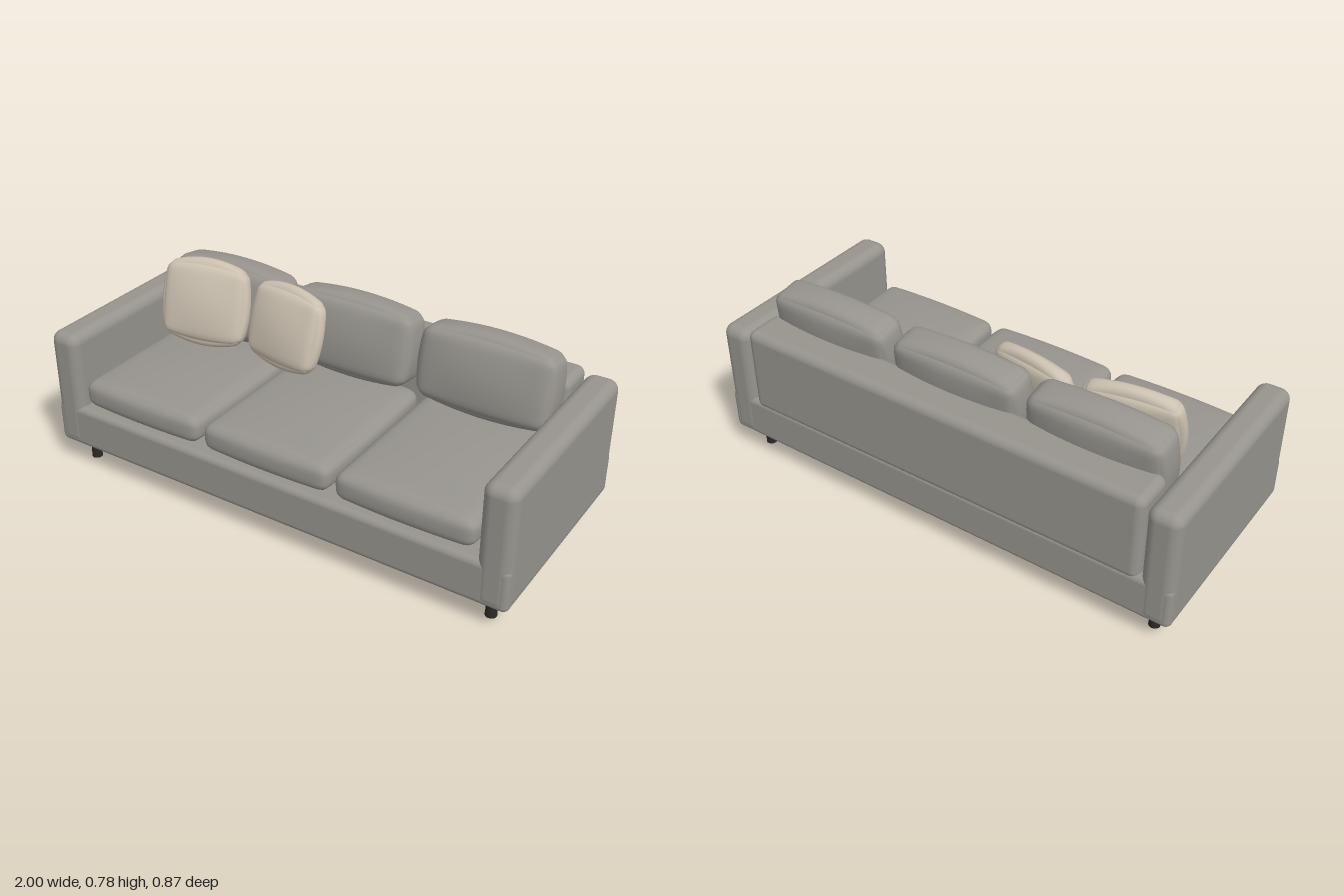
import * as THREE from 'three';
import { mergeVertices } from 'three/addons/utils/BufferGeometryUtils.js';
import { RoundedBoxGeometry } from 'three/addons/geometries/RoundedBoxGeometry.js';

const fabric = new THREE.MeshStandardMaterial({ color: 0x97948e });
const linen = new THREE.MeshStandardMaterial({ color: 0xcbc1b0 });
const darkWood = new THREE.MeshStandardMaterial({ color: 0x2b2724 });

// Stuffed cushion: a rounded box whose faces swell towards their middles.
// size is the full outer size, bulge the swelling of each pair of faces.
function cushionGeometry(size, radius, bulge) {
  let geo = new THREE.BoxGeometry(2, 2, 2, 18, 18, 18);
  geo.deleteAttribute('uv');
  geo.deleteAttribute('normal');
  geo = mergeVertices(geo);
  const half = new THREE.Vector3(...size).multiplyScalar(0.5).sub(new THREE.Vector3(...bulge));
  const inner = half.clone().subScalar(radius);
  const pos = geo.attributes.position;
  const p = new THREE.Vector3(), core = new THREE.Vector3();
  const ease = (t) => Math.sin(t * Math.PI / 2); // more rings near the edges
  for (let i = 0; i < pos.count; i++) {
    const u = ease(pos.getX(i)), v = ease(pos.getY(i)), w = ease(pos.getZ(i));
    p.set(u, v, w).multiply(half);
    core.copy(p).clamp(inner.clone().negate(), inner);
    p.sub(core).setLength(radius).add(core);
    const fu = 1 - u * u, fv = 1 - v * v, fw = 1 - w * w;
    p.x += bulge[0] * u * fv * (0.5 + 0.5 * fw);
    p.y += bulge[1] * v * fu * (0.5 + 0.5 * fw);
    p.z += bulge[2] * w * fu * fv;
    pos.setXYZ(i, p.x, p.y, p.z);
  }
  geo.computeVertexNormals();
  return geo;
}

export function createModel() {
  const sofa = new THREE.Group();
  sofa.name = 'sofa';

  const add = (name, geometry, material, x, y, z, tilt = 0, yaw = 0) => {
    const mesh = new THREE.Mesh(geometry, material);
    mesh.name = name;
    mesh.position.set(x, y, z);
    mesh.rotation.set(-tilt, yaw, 0, 'YXZ');
    sofa.add(mesh);
    return mesh;
  };

  // Frame: plinth, backrest and two arms
  add('base', new RoundedBoxGeometry(1.996, 0.18, 0.87, 4, 0.025), fabric, 0, 0.19, 0);
  add('backrest', new RoundedBoxGeometry(1.73, 0.36, 0.175, 4, 0.035), fabric, 0, 0.43, -0.3485);
  const arm = new RoundedBoxGeometry(0.13, 0.495, 0.874, 5, 0.042);
  for (const side of [-1, 1]) {
    add(side > 0 ? 'leftArm' : 'rightArm', arm, fabric, side * 0.935, 0.3445, 0);
  }

  // Three seat cushions and three leaning back cushions
  const seat = cushionGeometry([0.565, 0.145, 0.69], 0.035, [0.012, 0.018, 0.012]);
  const back = cushionGeometry([0.56, 0.335, 0.195], 0.035, [0.02, 0.03, 0.025]);
  for (const i of [-1, 0, 1]) {
    add('seatCushion', seat, fabric, i * 0.578, 0.352, 0.087);
    add('backCushion', back, fabric, i * 0.578, 0.587, -0.21, 0.17);
  }

  // Two throw pillows leaning on the back cushions
  add('largePillow', cushionGeometry([0.39, 0.36, 0.125], 0.03, [0.022, 0.035, 0.025]),
    linen, -0.625, 0.607, -0.078, 0.27, 0.17);
  add('smallPillow', cushionGeometry([0.37, 0.34, 0.12], 0.03, [0.022, 0.032, 0.025]),
    linen, -0.24, 0.598, -0.088, 0.27, -0.16);

  // Legs flare slightly towards the floor
  const leg = new THREE.CylinderGeometry(0.016, 0.022, 0.12, 20);
  for (const x of [-0.905, 0.905]) {
    for (const z of [-0.343, 0.343]) add('leg', leg, darkWood, x, 0.06, z);
  }

  return sofa;
}
